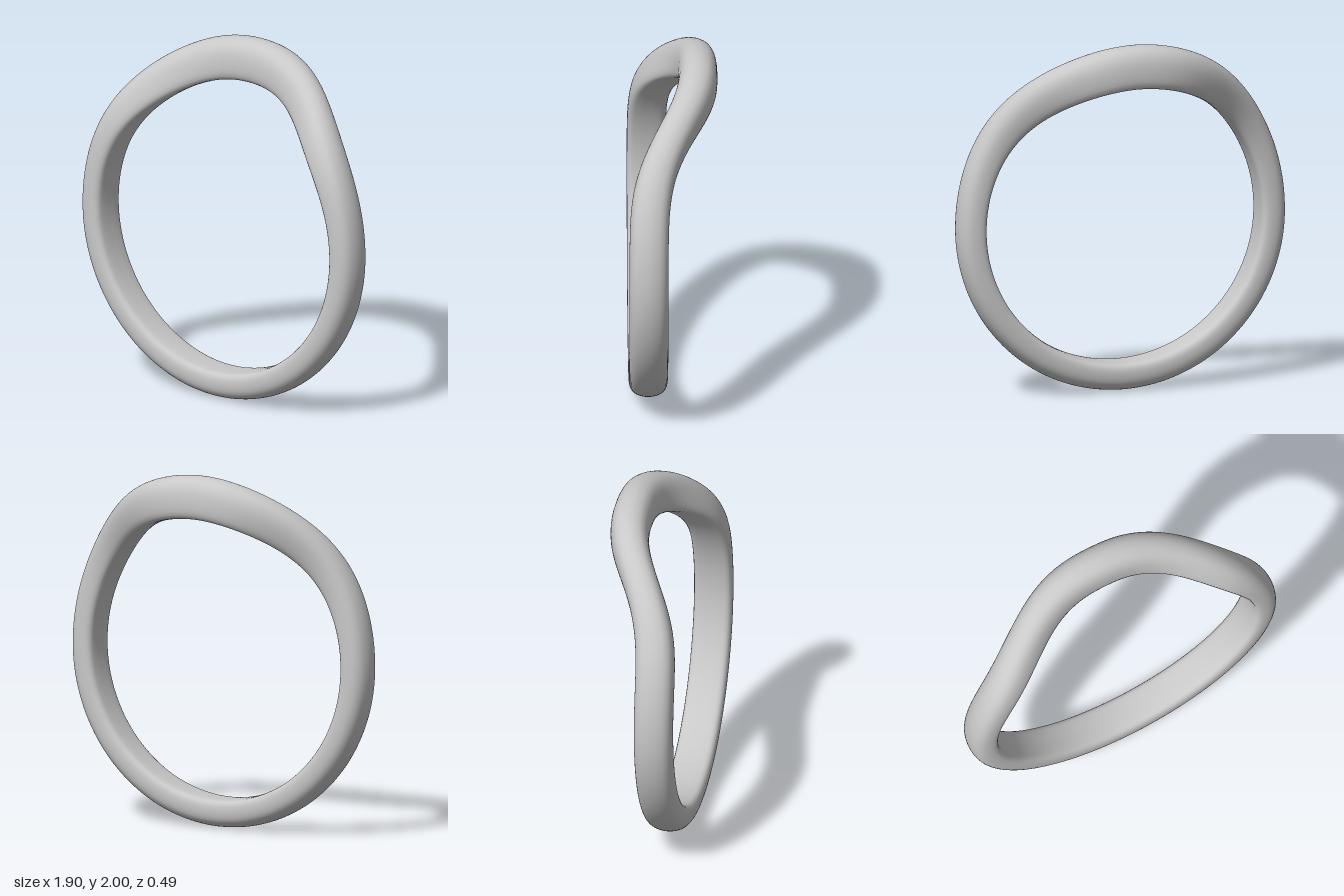
import * as THREE from 'three';

const STEPS = 192;        // sections around the ring
const SIDES = 48;         // points around one section
const CENTRE_Y = 0.96;
const INNER_RADIUS = 0.8;
const HALF_WIDTH = 0.1075;

// Section: u across the band (-1 to 1), v from the finger side (0) to the outer dome (1)
function sectionPoints() {
  const half = [[0.5, 0.01], [0.82, 0.05], [0.96, 0.15], [1, 0.3], [0.99, 0.5], [0.91, 0.7], [0.7, 0.87], [0.36, 0.97]];
  const right = half.map(([u, v]) => new THREE.Vector3(u, v, 0));
  const left = half.map(([u, v]) => new THREE.Vector3(-u, v, 0)).reverse();
  const loop = [new THREE.Vector3(0, 0, 0), ...right, new THREE.Vector3(0, 1, 0), ...left];
  return new THREE.CatmullRomCurve3(loop, true).getSpacedPoints(SIDES).slice(0, SIDES);
}

// Depth of the band centre: the top of the ring bends back in a smooth wave
function waveDepth(angle) {
  const a = Math.abs(angle) / THREE.MathUtils.degToRad(39.3);
  return 0.1375 - 0.2775 * Math.exp(-Math.pow(a, 2.7));
}

// Thickness of the band: heaviest at the top
function thickness(angle) {
  const c = Math.cos(angle);
  return 0.152 + (c > 0 ? 0.088 : 0.008) * c * c;
}

function bandGeometry() {
  const section = sectionPoints();
  const positions = [];
  const indices = [];
  for (let i = 0; i < STEPS; i++) {
    const angle = (i / STEPS) * Math.PI * 2 - Math.PI;
    for (const p of section) {
      const r = INNER_RADIUS + p.y * thickness(angle);
      positions.push(r * Math.sin(angle), CENTRE_Y + r * Math.cos(angle), waveDepth(angle) + p.x * HALF_WIDTH);
    }
    const next = (i + 1) % STEPS;
    for (let j = 0; j < SIDES; j++) {
      const k = (j + 1) % SIDES;
      const a = i * SIDES + j, b = next * SIDES + j;
      const c = i * SIDES + k, d = next * SIDES + k;
      indices.push(a, b, c, b, d, c);
    }
  }
  const geometry = new THREE.BufferGeometry();
  geometry.setAttribute('position', new THREE.Float32BufferAttribute(positions, 3));
  geometry.setIndex(indices);
  geometry.computeVertexNormals();
  return geometry;
}

export function createModel() {
  const metal = new THREE.MeshStandardMaterial({ color: 0xc8c8c8 });
  metal.name = 'light grey metal';

  const band = new THREE.Mesh(bandGeometry(), metal);
  band.name = 'ringBand';

  const model = new THREE.Group();
  model.name = 'curvedRing';
  model.add(band);
  return model;
}
